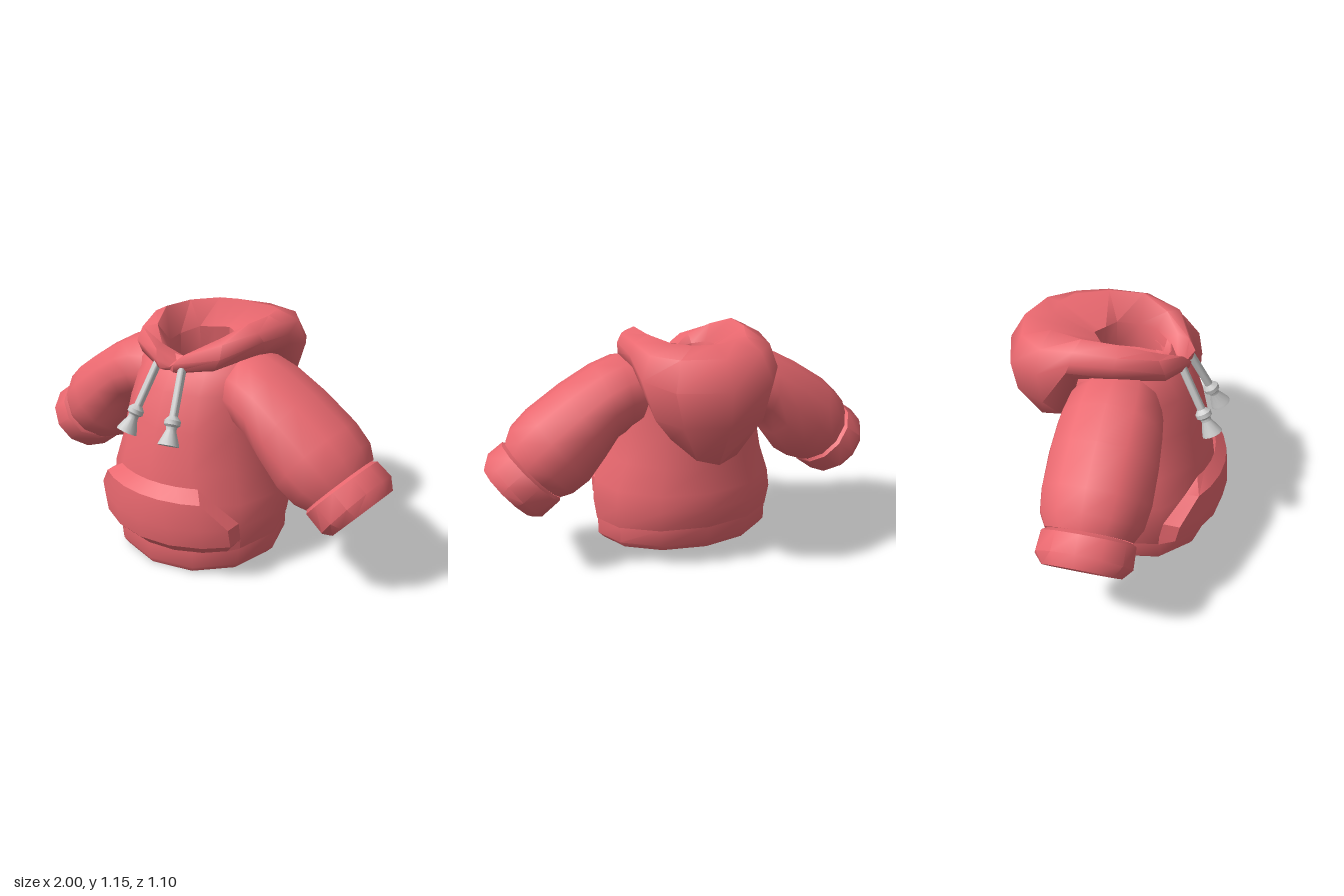
import * as THREE from 'three';
import { toCreasedNormals } from 'three/addons/utils/BufferGeometryUtils.js';

const cloth = new THREE.MeshStandardMaterial({ color: 0xe9686f, side: THREE.DoubleSide });
const grey = new THREE.MeshStandardMaterial({ color: 0xcccccc });
const V = (x, y, z) => new THREE.Vector3(x, y, z);

// Skin a list of equally long rows of points
function loft(name, rows, closed = true, crease = 0.8) {
  const n = rows[0].length, pos = [];
  const tri = (a, b, c) => {
    if (a.distanceTo(b) < 1e-5 || b.distanceTo(c) < 1e-5 || a.distanceTo(c) < 1e-5) return;
    for (const p of [a, b, c]) pos.push(p.x, p.y, p.z);
  };
  for (let i = 0; i < rows.length - 1; i++) {
    for (let j = 0; j < (closed ? n : n - 1); j++) {
      const k = (j + 1) % n;
      tri(rows[i][j], rows[i][k], rows[i + 1][k]);
      tri(rows[i][j], rows[i + 1][k], rows[i + 1][j]);
    }
  }
  const geo = new THREE.BufferGeometry();
  geo.setAttribute('position', new THREE.Float32BufferAttribute(pos, 3));
  const mesh = new THREE.Mesh(toCreasedNormals(geo, crease), cloth);
  mesh.name = name;
  return mesh;
}

// Point on a tilted horizontal ellipse, angle measured from the front
function torsoPoint([y, rx, front, back, tilt = 0], a) {
  const mid = (front + back) / 2, z = (front - back) / 2 * Math.cos(a);
  return V(rx * Math.sin(a), y + tilt * z, mid + z);
}
const torsoRing = (r) => Array.from({ length: 12 }, (_, i) => torsoPoint(r, i * Math.PI / 6));

// One sleeve section: upper and lower outline points plus half depth
function sleeveRing([x1, y1, x0, y0, depth], side) {
  return Array.from({ length: 12 }, (_, i) => {
    const a = side * i * Math.PI / 6, c = Math.cos(a), s = Math.sin(a);
    const t = c / 2;
    return V(side * ((x1 + x0) / 2 + t * (x1 - x0)), (y1 + y0) / 2 + t * (y1 - y0), 0.05 + depth * s);
  });
}

function createHood() {
  // Half of the stations, front to back; each runs from the inner rim over the crest to the lower edge
  const half = [
    [[0, .98, .2], [0, .98, .27], [0, .97, .3], [0, .96, .315], [0, .945, .31], [0, .93, .28]],
    [[.1, 1, .2], [.1, 1.04, .25], [.08, 1.03, .31], [.05, .99, .345], [.04, .95, .335], [.04, .93, .29]],
    [[.15, 1.02, .14], [.19, 1.1, .18], [.24, 1.09, .23], [.25, 1.03, .26], [.22, .98, .26], [.18, .95, .22]],
    [[.16, 1.03, .05], [.25, 1.15, .05], [.31, 1.12, .06], [.335, 1.08, .05], [.335, 1.03, .04], [.28, .98, .05]],
    [[.12, 1.05, -.05], [.24, 1.15, -.12], [.31, 1.12, -.14], [.335, 1.07, -.15], [.33, 1.02, -.17], [.26, .95, -.15]],
    [[.06, 1.05, -.09], [.18, 1.14, -.28], [.29, 1.1, -.3], [.33, .99, -.31], [.27, .8, -.31], [.18, .68, -.26]],
    [[.03, 1.05, -.11], [.1, 1.135, -.33], [.19, 1.1, -.42], [.23, .97, -.47], [.19, .8, -.46], [.1, .61, -.38]],
    [[0, 1.05, -.13], [0, 1.13, -.33], [0, 1.1, -.47], [0, .97, -.55], [0, .81, -.54], [0, .585, -.41]],
  ];
  const mirrored = half.slice(1, 7).reverse().map((st) => st.map(([x, y, z]) => [-x, y, z]));
  const stations = [...half, ...mirrored];
  const rows = [5, 4, 3, 2, 1, 0].map((k) => stations.map((st) => V(...st[k])));
  rows.unshift(rows[0].map((p) => V(p.x * 0.73, p.y, p.z * 0.73)));
  rows.push(rows[6].map((p) => V(p.x, p.y - 0.13, p.z)));
  return loft('hood', rows, true, 1.0);
}

function createPocket() {
  // Rows: torso section, half angle, bulge
  const rows = [
    [[.165, .455, .48, -.29, -.12], 1.05, 0],
    [[.215, .46, .485, -.3, -.1], 1.05, .052],
    [[.3, .47, .5, -.315, -.06], 1.02, .052],
    [[.41, .455, .485, -.3, -.02], .72, .05],
    [[.455, .435, .478, -.295, 0], .6, 0],
  ].map(([ring, span, bulge]) => [-1, -.86, -.6, -.3, 0, .3, .6, .86, 1].map((s) => {
    const a = s * span, p = torsoPoint(ring, a);
    const out = Math.abs(s) === 1 ? 0.002 : bulge + 0.002;
    return p.add(V(out * Math.sin(a), 0, out * Math.cos(a)));
  }));
  return loft('pocket', rows, false, 0.6);
}

function createSleeve(side) {
  const group = new THREE.Group();
  group.name = side > 0 ? 'leftSleeve' : 'rightSleeve';
  const arm = [
    [.27, 1.02, .22, .68, .2], [.34, 1.02, .31, .66, .225], [.45, .98, .37, .63, .24],
    [.61, .895, .43, .54, .25], [.78, .785, .51, .43, .25], [.86, .71, .59, .375, .235], [.89, .64, .65, .36, .2],
  ];
  // Cuff with a shallow recess closed at the end
  const cuff = [
    [.88, .63, .65, .355, .19], [.905, .635, .655, .345, .215], [.975, .585, .745, .278, .22], [.998, .525, .785, .278, .18],
    [.975, .505, .795, .3, .15], [.93, .51, .77, .33, .14], [.85, .42, .85, .42, 0],
  ];
  group.add(loft('sleeve', arm.map((r) => sleeveRing(r, side))));
  group.add(loft('cuff', cuff.map((r) => sleeveRing(r, side))));
  return group;
}

function createDrawstring(side) {
  const profile = [[0, 0], [.05, 0], [.047, .012], [.024, .07], [.026, .085], [.038, .095], [.038, .115], [.02, .135], [.02, .358], [0, .358]];
  const geo = new THREE.LatheGeometry(profile.map(([r, y]) => new THREE.Vector2(r, y)), 12);
  const mesh = new THREE.Mesh(toCreasedNormals(geo, 0.7), grey);
  const end = V(side * 0.13, 0.66, 0.475), top = V(side * 0.075, 0.965, 0.31);
  mesh.position.copy(end);
  mesh.quaternion.setFromUnitVectors(V(0, 1, 0), top.sub(end).normalize());
  mesh.name = side > 0 ? 'leftDrawstring' : 'rightDrawstring';
  return mesh;
}

export function createModel() {
  const model = new THREE.Group();
  model.name = 'hoodie';

  // Waistband, closed underneath
  model.add(loft('waistband', [
    [.048, 0, .1, .1], [.048, .42, .463, -.262, -.125], [.08, .45, .48, -.285, -.125], [.168, .45, .48, -.29, -.12],
  ].map(torsoRing)));

  // Torso, turning in at the neck to a floor inside the collar
  model.add(loft('torso', [
    [.165, .455, .48, -.29, -.12], [.28, .47, .5, -.315, -.08], [.38, .46, .49, -.3, -.03],
    [.52, .41, .465, -.285], [.7, .375, .42, -.26], [.86, .36, .36, -.235], [.95, .35, .3, -.22],
    [1, .3, .24, -.2], [.9, .2, .2, -.13], [.9, 0, .03, .03],
  ].map(torsoRing)));

  model.add(createPocket(), createHood());
  for (const side of [1, -1]) model.add(createSleeve(side), createDrawstring(side));
  return model;
}
